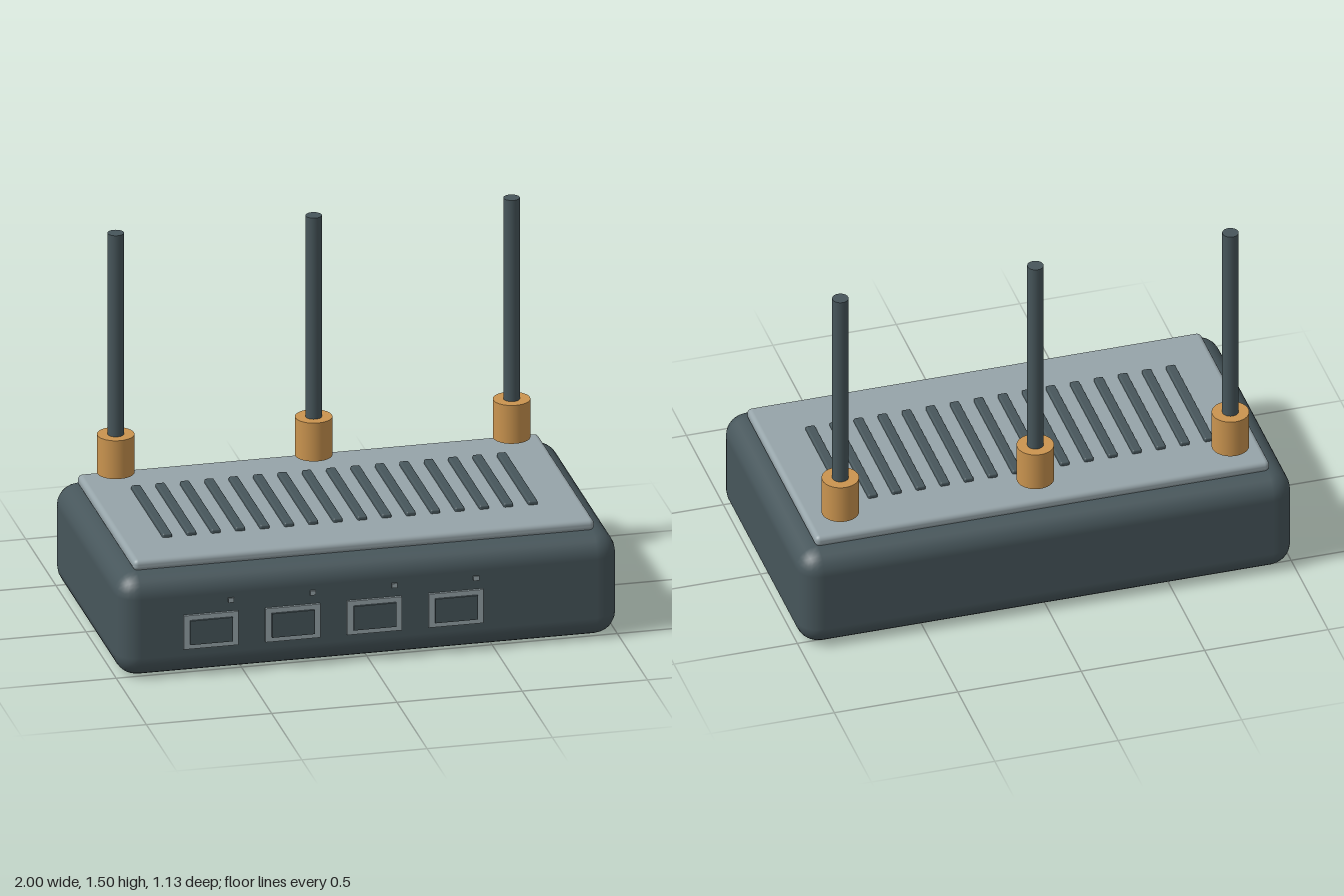
import * as THREE from 'three';
import { RoundedBoxGeometry } from 'three/addons/geometries/RoundedBoxGeometry.js';

function material(name, color) {
  const m = new THREE.MeshStandardMaterial({ color });
  m.name = name;
  return m;
}

export function createModel() {
  const dark = material('dark slate', 0x47565b);
  const grey = material('light grey', 0x96a4a9);
  const brass = material('brass', 0xca944f);
  const model = new THREE.Group();
  model.name = 'router';

  const add = (parent, name, geometry, mat, x, y, z) => {
    const mesh = new THREE.Mesh(geometry, mat);
    mesh.name = name;
    mesh.position.set(x, y, z);
    parent.add(mesh);
    return mesh;
  };

  // Case and lid
  add(model, 'body', new RoundedBoxGeometry(2, 0.425, 1.11, 3, 0.09), dark, 0, 0.2125, -0.01);
  add(model, 'topPlate', new RoundedBoxGeometry(1.84, 0.047, 0.945, 3, 0.02), grey, 0, 0.443, -0.012);

  // Row of vent slats on the lid
  const slat = new RoundedBoxGeometry(0.038, 0.03, 0.53, 2, 0.007);
  for (let i = 0; i < 16; i++) {
    add(model, 'ventSlat', slat, dark, -0.735 + i * 0.0973, 0.467, -0.015);
  }

  // Front ports: open frame, dark insert and a small indicator light
  const outline = new THREE.Shape();
  const rect = (path, w, h) => path.moveTo(-w, -h).lineTo(w, -h).lineTo(w, h).lineTo(-w, h).closePath();
  rect(outline, 0.109, 0.07);
  const hole = new THREE.Path();
  rect(hole, 0.085, 0.05);
  outline.holes.push(hole);
  const frame = new THREE.ExtrudeGeometry(outline, { depth: 0.018, bevelEnabled: false });
  const insert = new THREE.BoxGeometry(0.17, 0.1, 0.026);
  const light = new THREE.BoxGeometry(0.022, 0.018, 0.01);
  for (let i = 0; i < 4; i++) {
    const port = new THREE.Group();
    port.name = 'port';
    port.position.set(-0.634 + i * 0.326, 0.187, 0);
    add(port, 'portFrame', frame, grey, 0, 0, 0.538);
    add(port, 'portInsert', insert, dark, 0, 0, 0.552);
    add(port, 'indicatorLight', light, grey, 0.078, 0.122, 0.561);
    model.add(port);
  }

  // Three antennas along the back edge
  const collar = new THREE.CylinderGeometry(0.073, 0.073, 0.16, 32);
  const rod = new THREE.CylinderGeometry(0.032, 0.032, 0.88, 24);
  for (const x of [-0.79, 0, 0.79]) {
    const antenna = new THREE.Group();
    antenna.name = 'antenna';
    antenna.position.set(x, 0, -0.38);
    add(antenna, 'antennaCollar', collar, brass, 0, 0.58, 0);
    add(antenna, 'antennaRod', rod, dark, 0, 1.06, 0);
    model.add(antenna);
  }

  return model;
}
